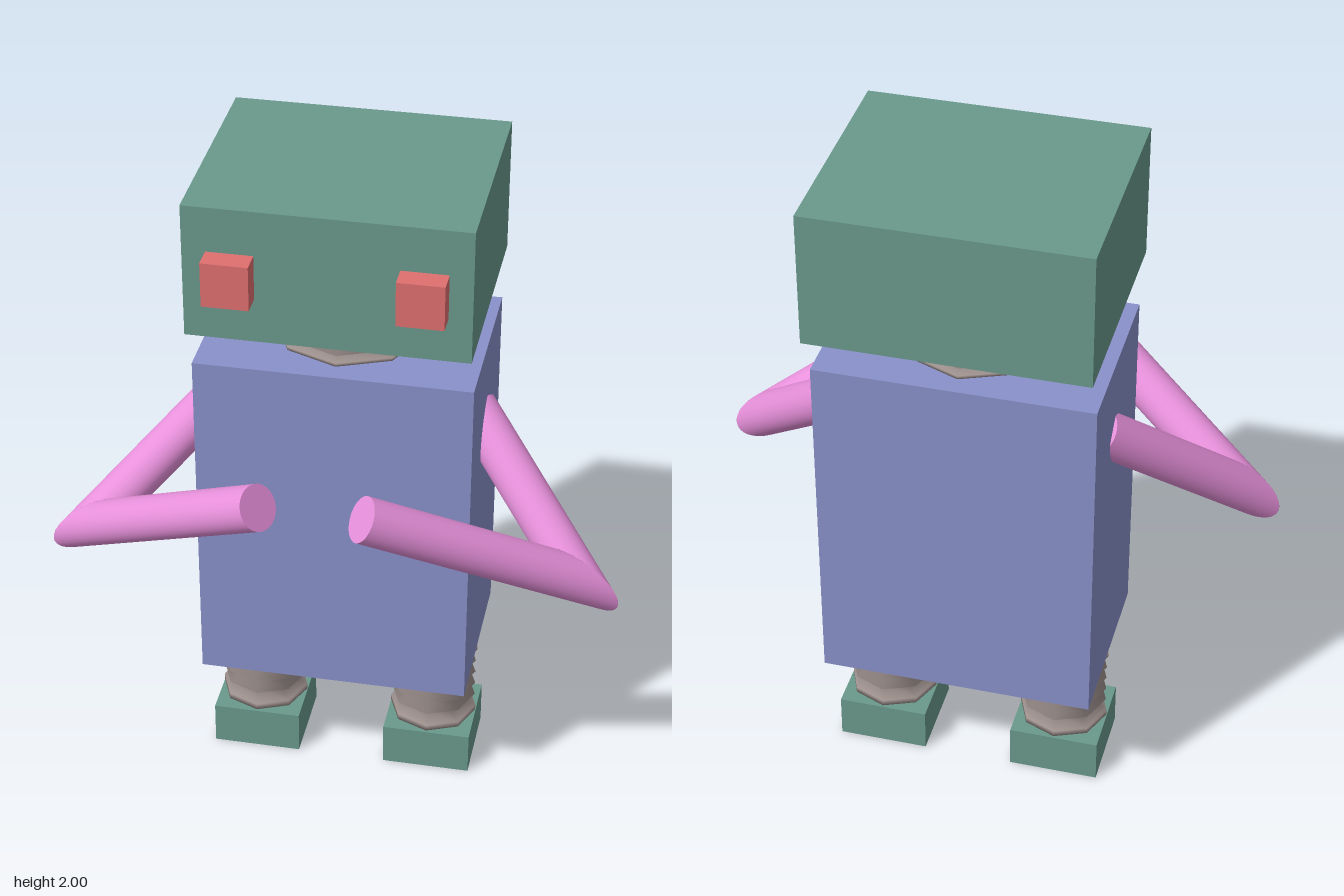
import * as THREE from 'three';

const V = (x, y, z) => new THREE.Vector3(x, y, z);
const mat = (color) => new THREE.MeshStandardMaterial({ color });
const CENTRE_Z = -0.153;

function add(parent, name, geometry, material, x = 0, y = 0, z = 0) {
  const mesh = new THREE.Mesh(geometry, material);
  mesh.name = name;
  mesh.position.set(x, y, z);
  parent.add(mesh);
  return mesh;
}

// Eight-sided bellows: a thick collar at each end and thin ribs between
function bellows(height, collarRadius, ribRadius, valleyRadius, ribs = 4) {
  const pitch = height / (ribs + 2.2);
  const collar = pitch * 0.6;
  const first = (height - pitch * (ribs - 1)) / 2;
  const pts = [[valleyRadius, 0], [collarRadius, collar * 0.25], [collarRadius, collar]];
  for (let i = 0; i < ribs; i++) {
    const y = first + i * pitch;
    pts.push([valleyRadius, y - pitch / 2], [ribRadius, y]);
  }
  pts.push([valleyRadius, first + (ribs - 0.5) * pitch], [collarRadius, height - collar],
    [collarRadius, height - collar * 0.25], [valleyRadius, height]);
  return new THREE.LatheGeometry(pts.map(([r, y]) => new THREE.Vector2(r, y)), 8);
}

// Cylinder from a free end to the elbow, cut there on the mitre plane
function limb(end, elbow, planeNormal, radius) {
  const dir = elbow.clone().sub(end);
  const length = dir.length();
  dir.normalize();
  const g = new THREE.CylinderGeometry(radius, radius, length, 32);
  g.translate(0, length / 2, 0);
  g.applyQuaternion(new THREE.Quaternion().setFromUnitVectors(V(0, 1, 0), dir));
  g.translate(end.x, end.y, end.z);
  const pos = g.attributes.position;
  const p = V(0, 0, 0);
  for (let i = 0; i < pos.count; i++) {
    p.fromBufferAttribute(pos, i);
    if (p.clone().sub(end).dot(dir) < length / 2) continue;
    const t = elbow.clone().sub(p).dot(planeNormal) / dir.dot(planeNormal);
    p.addScaledVector(dir, t);
    pos.setXYZ(i, p.x, p.y, p.z);
  }
  return g;
}

export function createModel() {
  const model = new THREE.Group();
  model.name = 'robot';
  const green = mat(0x6a9a8c);
  const blue = mat(0x8a91ca);
  const pink = mat(0xe891dc);
  const red = mat(0xe07070);
  const metal = mat(0x9d908d);

  // Head, neck and body
  add(model, 'head', new THREE.BoxGeometry(0.8, 0.4, 0.667), green, 0, 1.8, CENTRE_Z);
  add(model, 'body', new THREE.BoxGeometry(0.8, 1.067, 0.533), blue, 0, 0.933, CENTRE_Z);
  add(model, 'neck', bellows(0.133, 0.213, 0.207, 0.165), metal, 0, 1.467, CENTRE_Z);

  for (const [side, s] of [['left', 1], ['right', -1]]) {
    // Eye
    add(model, side + 'Eye', new THREE.BoxGeometry(0.133, 0.133, 0.08), red, s * 0.267, 1.8, 0.207);

    // Leg and foot
    add(model, side + 'Leg', bellows(0.267, 0.133, 0.13, 0.088), metal, s * 0.267, 0.133, CENTRE_Z);
    add(model, side + 'Foot', new THREE.BoxGeometry(0.267, 0.133, 0.267), green, s * 0.267, 0.0667, CENTRE_Z);

    // Arm, bent at a mitred elbow
    const arm = new THREE.Group();
    arm.name = side + 'Arm';
    model.add(arm);
    const shoulder = V(s * 0.36, 1.23, -0.185);
    const elbow = V(s * 0.72, 0.878, 0.115);
    const hand = V(s * 0.145, 1.217, 0.422);
    const a = elbow.clone().sub(shoulder).normalize();
    const b = hand.clone().sub(elbow).normalize();
    const normal = a.add(b).normalize();
    add(arm, side + 'UpperArm', limb(shoulder, elbow, normal, 0.0667), pink);
    add(arm, side + 'Forearm', limb(hand, elbow, normal, 0.0667), pink);
  }
  return model;
}
